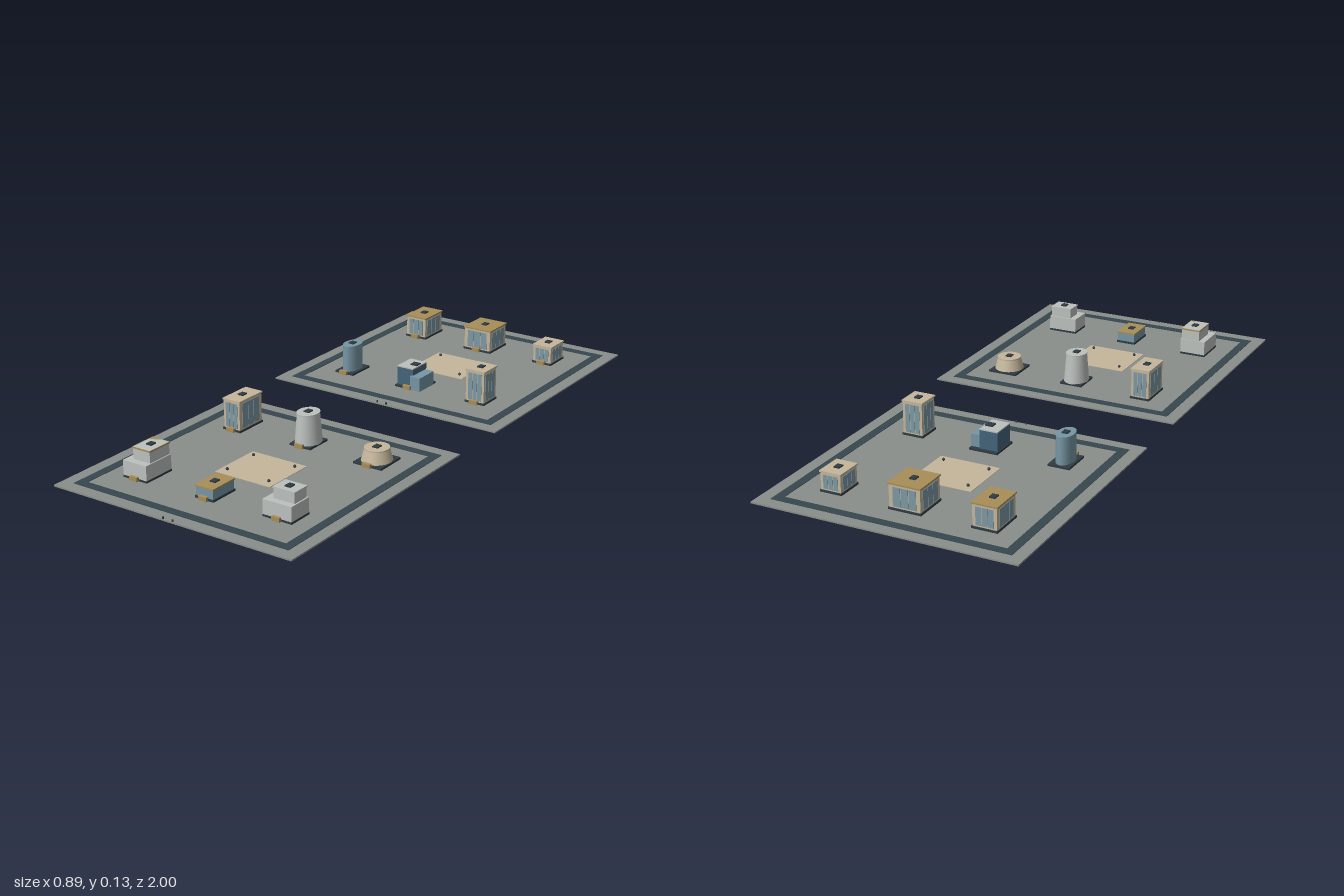
import * as THREE from 'three';

const mat = (color) => new THREE.MeshStandardMaterial({ color });
const M = {
  ground: mat(0x8a8e8b), navy: mat(0x37474f), cream: mat(0xc4b69c), gold: mat(0xa88d58),
  grey: mat(0xbcc1be), glass: mat(0x7d98a3), blue: mat(0x7696a4), deep: mat(0x45647a), dark: mat(0x2f3b42),
};
const TOP = 0.006; // upper face of the ground plates

function add(parent, name, geometry, material, x, y, z) {
  const mesh = new THREE.Mesh(geometry, material);
  mesh.name = name;
  mesh.position.set(x, y, z);
  parent.add(mesh);
  return mesh;
}

// Box placed by its base height
const box = (parent, name, material, w, h, d, x, y, z) =>
  add(parent, name, new THREE.BoxGeometry(w, h, d), material, x, y + h / 2, z);

function named(parent, name, x = 0, z = 0) {
  const g = new THREE.Group();
  g.name = name;
  g.position.set(x, 0, z);
  parent.add(g);
  return g;
}

// Strips of glass on all four sides of a block
function glazing(g, w, d, y0, y1) {
  const n = 3;
  for (let i = 0; i < n; i++) {
    const t = (i - (n - 1) / 2) / n;
    box(g, 'frontBackWindow', M.glass, w * 0.76 / n - 0.002, y1 - y0, d + 0.003, t * w * 0.76, y0, 0);
    box(g, 'sideWindow', M.glass, w + 0.003, y1 - y0, d * 0.76 / n - 0.002, 0, y0, t * d * 0.76);
  }
}

function rooftopUnit(g, x, y, z, w = 0.02, d = 0.024) {
  box(g, 'rooftopUnit', M.dark, w, 0.004, d, x, y, z);
}

function entrance(g, z, material = M.gold) {
  box(g, 'entrance', material, 0.03, 0.014, 0.012, 0, TOP, z + 0.004);
}

// Rectangular building with plinth, walls, glazing and roof slab
function blockBuilding(parent, { x, z, w, d, h, wall, roof, windows = true }) {
  const g = named(parent, 'blockBuilding', x, z);
  box(g, 'plinth', M.dark, w, 0.007, d, 0, TOP, 0);
  box(g, 'walls', wall, w - 0.006, h - TOP - 0.004, d - 0.006, 0, TOP, 0);
  if (windows) glazing(g, w - 0.006, d - 0.006, 0.018, h - 0.012);
  box(g, 'roof', roof, w, 0.005, d, 0, h - 0.005, 0);
  rooftopUnit(g, 0, h, 0);
  entrance(g, d / 2);
}

// Two stacked blocks, the upper one set back to one side
function steppedBuilding(parent, { x, z, w, d, h, tier, roof }) {
  const g = named(parent, 'steppedBuilding', x, z);
  box(g, 'plinth', M.dark, w + 0.001, 0.007, d + 0.001, 0, TOP, 0);
  box(g, 'lowerBlock', M.grey, w, h - TOP, d, 0, TOP, 0);
  box(g, 'upperBlock', M.grey, tier.w - 0.004, tier.h - h, tier.d - 0.004, tier.x, h, tier.z);
  box(g, 'roof', roof, tier.w, 0.005, tier.d, tier.x, tier.h - 0.005, tier.z);
  rooftopUnit(g, tier.x, tier.h, tier.z);
  entrance(g, d / 2);
}

// Oval tower, optionally tapering, on a dark square base
function ovalBuilding(parent, { x, z, bw, bd, rx, rz, taper, h, wall }) {
  const g = named(parent, 'ovalBuilding', x, z);
  box(g, 'base', M.dark, bw, 0.007, bd, 0, TOP, 0);
  const y0 = TOP + 0.006;
  const tower = add(g, 'tower', new THREE.CylinderGeometry(taper, 1, h - y0, 32), wall, 0, (h + y0) / 2, 0);
  tower.scale.set(rx, 1, rz);
  const rim = add(g, 'roofRim', new THREE.CylinderGeometry(taper, taper, 0.004, 32), wall, 0, h - 0.001, 0);
  rim.scale.set(rx * 1.03, 1, rz * 1.03);
  rooftopUnit(g, 0, h + 0.001, 0);
  entrance(g, bd / 2);
}

// Tall block with a lower wing beside it
function wingedBuilding(parent, x, z) {
  const g = named(parent, 'wingedBuilding', x, z);
  box(g, 'base', M.dark, 0.1, 0.007, 0.105, 0, TOP, 0);
  box(g, 'tallBlock', M.deep, 0.064, 0.07, 0.085, -0.015, TOP, 0);
  box(g, 'tallRoof', M.grey, 0.064, 0.004, 0.085, -0.015, 0.076, 0);
  box(g, 'lowWing', M.blue, 0.04, 0.049, 0.09, 0.031, TOP, 0.008);
  rooftopUnit(g, 0, 0.08, 0, 0.026, 0.026);
  entrance(g, 0.05);
}

// Ground plate with ring road, plaza, lamps and edge posts
function district(parent, name, z) {
  const g = named(parent, name, 0, z);
  box(g, 'groundPlate', M.ground, 0.89, 0.005, 0.89, 0, 0, 0);
  const square = (C, s) => {
    const p = new C();
    p.moveTo(-s, -s); p.lineTo(s, -s); p.lineTo(s, s); p.lineTo(-s, s); p.closePath();
    return p;
  };
  const ring = square(THREE.Shape, 0.403);
  ring.holes.push(square(THREE.Path, 0.373));
  const road = add(g, 'ringRoad', new THREE.ExtrudeGeometry(ring, { depth: 0.002, bevelEnabled: false }), M.navy, 0, 0.0045, 0);
  road.rotation.x = -Math.PI / 2;
  box(g, 'plaza', M.cream, 0.21, 0.002, 0.19, 0, 0.0045, 0);
  for (const sx of [-1, 1]) {
    for (const sz of [-1, 1]) {
      add(g, 'lampPost', new THREE.CylinderGeometry(0.0015, 0.0015, 0.008, 8), M.dark, sx * 0.08, 0.008, sz * 0.066);
      add(g, 'lampHead', new THREE.SphereGeometry(0.005, 12, 8), M.dark, sx * 0.08, 0.011, sz * 0.066);
    }
    box(g, 'edgePost', M.dark, 0.004, 0.008, 0.004, sx * 0.018, 0.004, 0.441);
  }
  return g;
}

export function createModel() {
  const model = new THREE.Group();
  model.name = 'cityDistricts';

  const back = district(model, 'backDistrict', -0.555);
  const cream = { wall: M.cream, roof: M.cream };
  const gilt = { wall: M.cream, roof: M.gold };
  blockBuilding(back, { x: -0.264, z: -0.246, w: 0.086, d: 0.12, h: 0.088, ...gilt });
  blockBuilding(back, { x: 0, z: -0.246, w: 0.112, d: 0.12, h: 0.092, ...gilt });
  blockBuilding(back, { x: 0.262, z: -0.246, w: 0.076, d: 0.096, h: 0.075, ...cream });
  ovalBuilding(back, { x: -0.264, z: 0.229, bw: 0.074, bd: 0.106, rx: 0.029, rz: 0.046, taper: 0.96, h: 0.105, wall: M.blue });
  wingedBuilding(back, 0, 0.229);
  blockBuilding(back, { x: 0.262, z: 0.229, w: 0.076, d: 0.086, h: 0.126, ...cream });

  const front = district(model, 'frontDistrict', 0.555);
  blockBuilding(front, { x: -0.264, z: -0.25, w: 0.07, d: 0.122, h: 0.114, ...cream });
  ovalBuilding(front, { x: 0, z: -0.25, bw: 0.08, bd: 0.096, rx: 0.042, rz: 0.05, taper: 0.82, h: 0.113, wall: M.grey });
  ovalBuilding(front, { x: 0.262, z: -0.25, bw: 0.104, bd: 0.11, rx: 0.05, rz: 0.053, taper: 0.78, h: 0.054, wall: M.cream });
  steppedBuilding(front, {
    x: -0.264, z: 0.224, w: 0.092, d: 0.116, h: 0.062, roof: M.gold,
    tier: { x: 0.009, z: -0.011, w: 0.07, d: 0.094, h: 0.103 },
  });
  blockBuilding(front, { x: 0, z: 0.224, w: 0.07, d: 0.105, h: 0.048, wall: M.blue, roof: M.gold, windows: false });
  steppedBuilding(front, {
    x: 0.262, z: 0.224, w: 0.104, d: 0.086, h: 0.061, roof: M.grey,
    tier: { x: 0.009, z: -0.009, w: 0.08, d: 0.062, h: 0.098 },
  });
  return model;
}
